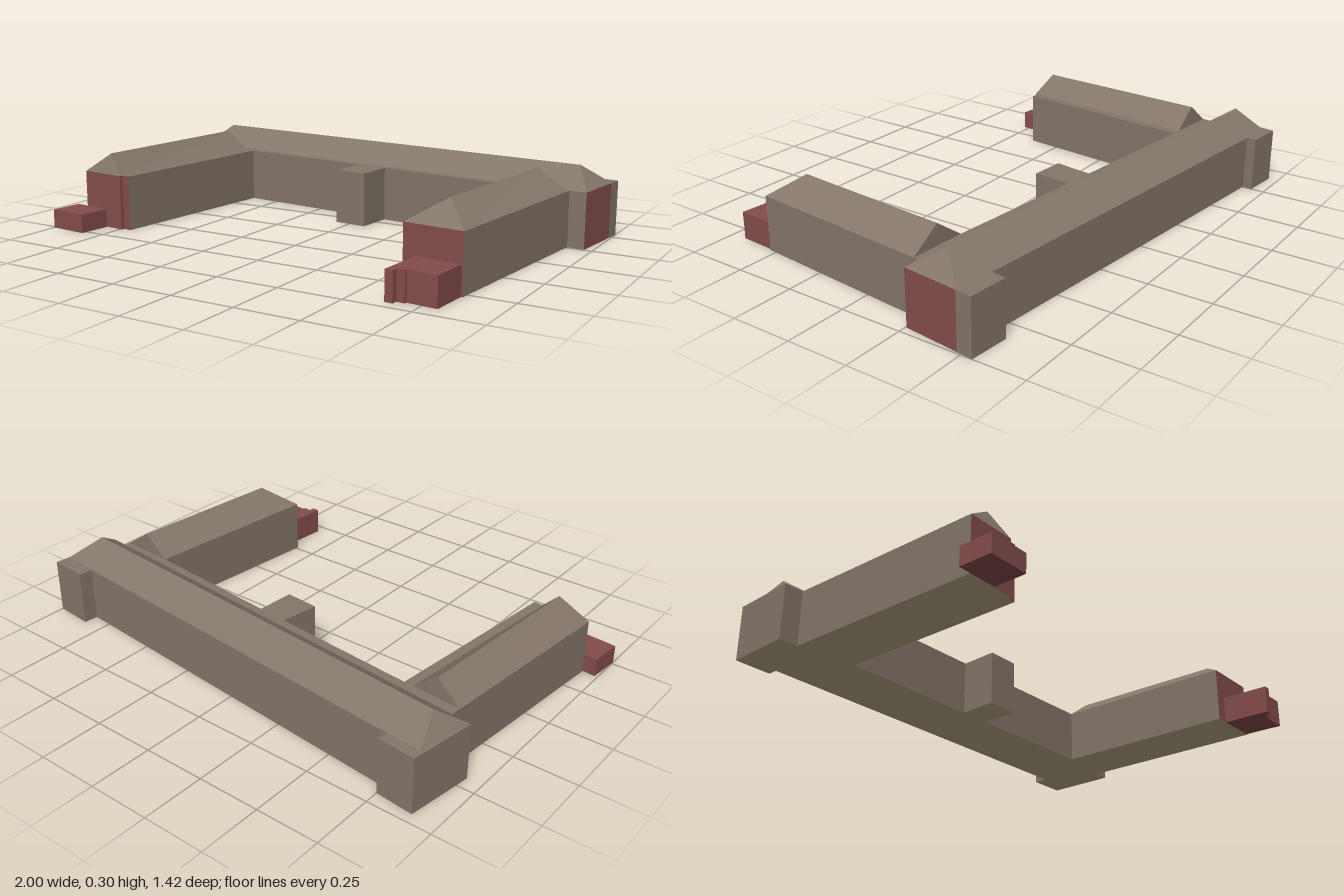
import * as THREE from 'three';

const paint = (name, color) => {
  const m = new THREE.MeshStandardMaterial({ color });
  m.name = name;
  return m;
};

const EAVES = 0.22, RIDGE = 0.3;

export function createModel() {
  const stone = paint('brown stone', 0x84766a);
  const brick = paint('red brick', 0x854c4c);
  const floor = paint('tan floor', 0xb8aa86);
  const materials = [stone, brick, floor];
  const [STONE, BRICK, FLOOR, OPEN] = [0, 1, 2, -1];
  const group = new THREE.Group();

  // Turns flat convex faces { points, mat } into one mesh, one geometry group per face
  function addPart(name, faces) {
    const geo = new THREE.BufferGeometry();
    const pos = [];
    for (const { points, mat } of faces) {
      const start = pos.length / 3;
      for (let i = 1; i < points.length - 1; i++) {
        pos.push(...points[0], ...points[i], ...points[i + 1]);
      }
      geo.addGroup(start, pos.length / 3 - start, mat);
    }
    geo.setAttribute('position', new THREE.Float32BufferAttribute(pos, 3));
    geo.computeVertexNormals();
    const mesh = new THREE.Mesh(geo, materials);
    mesh.name = name;
    group.add(mesh);
  }

  // Flat-topped block over an [x, z, wall colour] outline, clockwise from above.
  // Each colour belongs to the wall that starts at its corner.
  function addBlock(name, outline, height, top, bottom) {
    const faces = [];
    outline.forEach(([ax, az, mat], i) => {
      if (mat === OPEN) return;
      const [bx, bz] = outline[(i + 1) % outline.length];
      faces.push({ mat, points: [[ax, 0, az], [ax, height, az], [bx, height, bz], [bx, 0, bz]] });
    });
    const flat = outline.map(([x, z]) => new THREE.Vector2(x, z));
    for (const tri of THREE.ShapeUtils.triangulateShape(flat, [])) {
      const [a, b, c] = tri.map((i) => flat[i]);
      const clockwise = b.clone().sub(a).cross(c.clone().sub(a)) > 0;
      const down = clockwise ? [a, b, c] : [a, c, b];
      faces.push({ mat: bottom, points: down.map((p) => [p.x, 0, p.y]) });
      faces.push({ mat: top, points: down.map((p) => [p.x, height, p.y]).reverse() });
    }
    addPart(name, faces);
  }

  // Hipped roof: four eave corners clockwise from above, ridge start lies by corners 0-1
  function addRoof(name, corners, ridge) {
    const [a, b, c, d] = corners.map(([x, z]) => [x, EAVES, z]);
    const [r, s] = ridge.map(([x, z]) => [x, RIDGE, z]);
    addPart(name, [[a, d, s, r], [d, c, s], [c, b, r, s], [b, a, r]]
      .map((points) => ({ points, mat: STONE })));
  }

  // Long main range with projecting rear corners
  addBlock('mainRange', [
    [-0.94, -0.447, STONE], [-0.9, -0.71, STONE], [-0.75, -0.695, STONE], [-0.755, -0.656, STONE],
    [0.833, -0.503, STONE], [0.84, -0.56, STONE], [1.0, -0.545, STONE], [0.993, -0.48, BRICK],
    [0.968, -0.254, STONE], [0.9, -0.26, STONE], [0.898, -0.236, OPEN], [0.668, -0.25, STONE],
    [0.086, -0.31, OPEN], [-0.04, -0.322, STONE], [-0.63, -0.38, OPEN], [-0.866, -0.4, STONE],
    [-0.862, -0.439, STONE],
  ], EAVES, STONE, FLOOR);
  addRoof('mainRoof',
    [[-0.94, -0.447], [-0.892, -0.665], [0.992, -0.485], [0.968, -0.254]],
    [[-0.86, -0.55], [0.9, -0.377]]);

  // Right-hand wing (-x), with a flat strip along its inner side
  addBlock('rightWing', [
    [-0.936, 0.38, STONE], [-0.866, -0.4, OPEN], [-0.63, -0.38, STONE],
    [-0.703, 0.387, BRICK], [-0.738, 0.383, BRICK], [-0.74, 0.397, BRICK],
  ], EAVES, STONE, FLOOR);
  addRoof('rightWingRoof',
    [[-0.742, 0.397], [-0.936, 0.38], [-0.866, -0.4], [-0.668, -0.383]],
    [[-0.818, 0.355], [-0.768, -0.388]]);

  // Left-hand wing (+x)
  addBlock('leftWing', [
    [0.594, 0.51, STONE], [0.668, -0.25, OPEN], [0.898, -0.236, STONE], [0.824, 0.531, BRICK],
  ], EAVES, STONE, FLOOR);
  addRoof('leftWingRoof',
    [[0.824, 0.531], [0.594, 0.51], [0.668, -0.25], [0.898, -0.236]],
    [[0.722, 0.415], [0.78, -0.24]]);

  // Porch in the middle of the courtyard front
  addBlock('porch', [
    [-0.064, -0.168, STONE], [-0.04, -0.322, OPEN], [0.086, -0.31, STONE], [0.074, -0.156, STONE],
  ], EAVES, STONE, FLOOR);

  // Low brick annexes at the wing ends
  addBlock('rightAnnex', [
    [-1.0, 0.51, BRICK], [-0.988, 0.378, BRICK], [-0.823, 0.394, BRICK], [-0.836, 0.525, BRICK],
  ], 0.075, BRICK, BRICK);
  addBlock('leftAnnex', [
    [0.63, 0.705, BRICK], [0.646, 0.513, BRICK], [0.818, 0.529, BRICK], [0.808, 0.685, BRICK],
    [0.695, 0.675, BRICK], [0.693, 0.686, BRICK], [0.662, 0.683, BRICK], [0.66, 0.707, BRICK],
  ], 0.11, BRICK, BRICK);

  return group;
}
